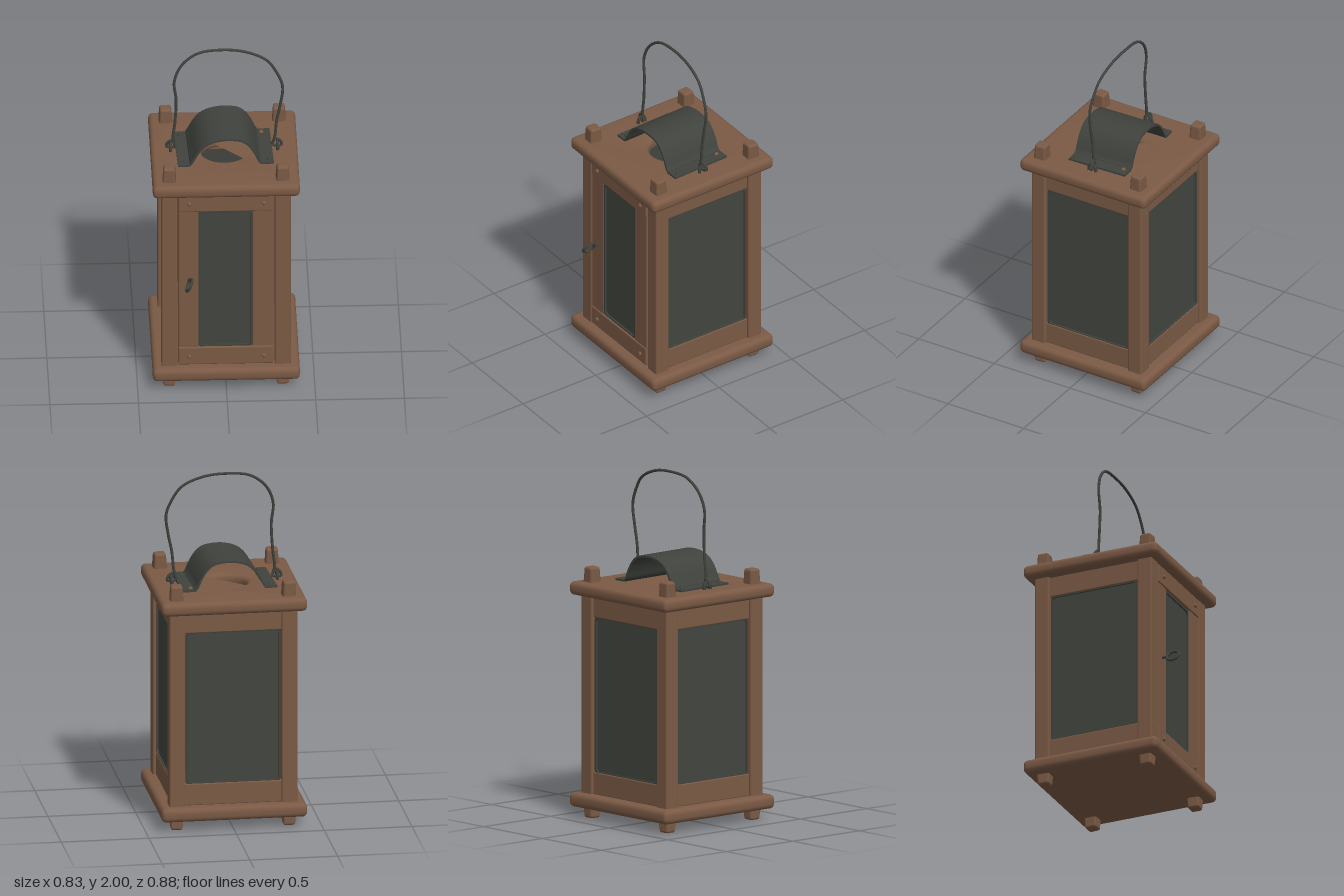
import * as THREE from 'three';
import { toCreasedNormals } from 'three/addons/utils/BufferGeometryUtils.js';
import { RoundedBoxGeometry } from 'three/addons/geometries/RoundedBoxGeometry.js';

const wood = new THREE.MeshStandardMaterial({ color: 0x7b5a45 });
wood.name = 'brown wood';
const iron = new THREE.MeshStandardMaterial({ color: 0x3f423d });
iron.name = 'dark iron';
const glass = new THREE.MeshStandardMaterial({ color: 0x42453f });
glass.name = 'dark glass';

const CZ = -0.025; // middle of the body in z
const v = (x, y, z) => new THREE.Vector3(x, y, z);

function add(parent, name, geometry, material, x = 0, y = 0, z = 0) {
  const mesh = new THREE.Mesh(geometry, material);
  mesh.name = name;
  mesh.position.set(x, y, z);
  parent.add(mesh);
  return mesh;
}

// Softened wooden block given by its limits
function block(parent, name, x0, x1, y0, y1, z0, z1, r = 0.008) {
  const geo = new RoundedBoxGeometry(x1 - x0, y1 - y0, z1 - z0, 2, r);
  return add(parent, name, geo, wood, (x0 + x1) / 2, (y0 + y1) / 2, (z0 + z1) / 2);
}

function roundedRect(target, w, h, r) {
  const a = w / 2, b = h / 2;
  target.moveTo(-a + r, -b);
  target.lineTo(a - r, -b).quadraticCurveTo(a, -b, a, -b + r);
  target.lineTo(a, b - r).quadraticCurveTo(a, b, a - r, b);
  target.lineTo(-a + r, b).quadraticCurveTo(-a, b, -a, b - r);
  target.lineTo(-a, -b + r).quadraticCurveTo(-a, -b, -a + r, -b);
  return target;
}

// Thick square board with rounded edges and an optional round vent
function board(parent, name, y0, y1, holeRadius) {
  const b = 0.028;
  const shape = roundedRect(new THREE.Shape(), 0.83, 0.83, 0.03);
  if (holeRadius) shape.holes.push(new THREE.Path().absarc(0, 0, holeRadius, 0, Math.PI * 2, true));
  const geo = new THREE.ExtrudeGeometry(shape, {
    depth: y1 - y0 - 2 * b, bevelThickness: b, bevelSize: b, bevelOffset: -b, bevelSegments: 4, curveSegments: 20,
  });
  geo.rotateX(-Math.PI / 2);
  add(parent, name, toCreasedNormals(geo, 0.7), wood, 0, y0 + b, CZ);
}

// Glass pane with a narrow rounded iron rim, facing +z
function pane(parent, w, h, x, y, z) {
  add(parent, 'glassPane', new THREE.BoxGeometry(w - 0.006, h - 0.006, 0.008), glass, x, y, z - 0.006);
  const rim = roundedRect(new THREE.Shape(), w, h, 0.025);
  rim.holes.push(roundedRect(new THREE.Path(), w - 0.024, h - 0.024, 0.022));
  add(parent, 'glassRim', new THREE.ExtrudeGeometry(rim, { depth: 0.012, bevelEnabled: false }), iron, x, y, z - 0.004);
}

// Fixed wall: two rails and a wide pane, facing +z at distance d
function wall(parent, name, angle) {
  const g = new THREE.Group();
  g.name = name;
  block(g, 'topRail', -0.285, 0.285, 1.155, 1.285, 0.305, 0.347);
  block(g, 'bottomRail', -0.285, 0.285, 0.14, 0.27, 0.305, 0.347);
  pane(g, 0.54, 0.9, 0, 0.712, 0.335);
  g.position.z = CZ;
  g.rotation.y = angle;
  parent.add(g);
}

function rivet(parent, x, y, z, material, onTop) {
  const geo = new THREE.SphereGeometry(0.013, 12, 6, 0, Math.PI * 2, 0, Math.PI / 2);
  const mesh = add(parent, 'rivet', geo, material, x, y, z);
  if (!onTop) mesh.rotation.x = Math.PI / 2;
}

function tube(parent, name, points, radius, segments = 24) {
  const curve = new THREE.CatmullRomCurve3(points);
  add(parent, name, new THREE.TubeGeometry(curve, segments, radius, 8), iron);
}

export function createModel() {
  const root = new THREE.Group();
  root.name = 'lantern';

  board(root, 'baseBoard', 0.062, 0.143);
  board(root, 'roofBoard', 1.275, 1.352, 0.13);

  // Corner posts with tapered tenons through both boards
  for (const sx of [-1, 1]) for (const sz of [-1, 1]) {
    const x = sx * 0.32, z = CZ + sz * 0.318;
    block(root, 'cornerPost', x - 0.045, x + 0.045, 0.13, 1.29, z - 0.045, z + 0.045, 0.01);
    for (const [name, y0, y1, dir] of [['topTenon', 1.32, 1.437, 1], ['foot', 0, 0.09, -1]]) {
      const h = y1 - y0;
      const geo = new RoundedBoxGeometry(0.08, h, 0.08, 3, 0.014);
      const p = geo.attributes.position;
      for (let i = 0; i < p.count; i++) {
        const s = 1 - 0.18 * (0.5 + dir * p.getY(i) / h);
        p.setX(i, p.getX(i) * s);
        p.setZ(i, p.getZ(i) * s);
      }
      add(root, name, geo, wood, x, (y0 + y1) / 2, z).rotation.y = 0.05 * sx * sz;
    }
  }

  // Left, back and right walls
  wall(root, 'leftWall', Math.PI / 2);
  wall(root, 'backWall', Math.PI);
  wall(root, 'rightWall', -Math.PI / 2);

  // Front door
  const door = new THREE.Group();
  door.name = 'door';
  block(door, 'doorTopRail', -0.27, 0.268, 1.16, 1.272, 0.285, 0.342);
  block(door, 'doorBottomRail', -0.27, 0.268, 0.15, 0.265, 0.285, 0.342);
  block(door, 'doorStile', -0.27, -0.155, 0.258, 1.167, 0.285, 0.336);
  block(door, 'doorStile', 0.148, 0.268, 0.258, 1.167, 0.285, 0.336);
  pane(door, 0.31, 0.895, -0.004, 0.71, 0.324);
  for (const x of [-0.208, 0.213]) for (const y of [0.205, 1.215]) rivet(door, x, y, 0.341, wood);
  root.add(door);

  // Door pull ring on a short pin
  const ring = add(root, 'pullRing', new THREE.TorusGeometry(0.036, 0.008, 8, 24), iron, -0.21, 0.713, 0.4);
  ring.rotation.set(0, Math.PI / 2, -0.46, 'ZYX');
  const pin = add(root, 'pullPin', new THREE.CylinderGeometry(0.008, 0.008, 0.04, 8), iron, -0.21, 0.713, 0.346);
  pin.rotation.x = Math.PI / 2;

  // Bent sheet heat shield over the vent
  const shield = new THREE.Group();
  shield.name = 'heatShield';
  const arch = new THREE.CatmullRomCurve3([
    v(-0.205, 1.357, 0), v(-0.185, 1.39, 0), v(-0.15, 1.45, 0), v(-0.105, 1.492, 0), v(-0.04, 1.514, 0), v(0.02, 1.518, 0),
    v(0.09, 1.506, 0), v(0.13, 1.475, 0), v(0.165, 1.42, 0), v(0.185, 1.375, 0), v(0.2, 1.357, 0),
  ]).getPoints(40);
  const line = [v(-0.272, 1.357, 0), ...arch, v(0.27, 1.357, 0)];
  const side = (s) => line.map((p, i) => {
    const t = line[Math.min(i + 1, line.length - 1)].clone().sub(line[Math.max(i - 1, 0)]).normalize();
    return new THREE.Vector2(p.x - t.y * s, p.y + t.x * s);
  });
  const profile = new THREE.Shape([...side(-0.006), ...side(0.006).reverse()]);
  const sheet = new THREE.ExtrudeGeometry(profile, { depth: 0.364, bevelEnabled: false });
  add(shield, 'bentSheet', toCreasedNormals(sheet, 0.6), iron, 0, 0, -0.182);
  shield.position.z = CZ - 0.002;
  shield.rotation.y = 0.036;
  root.add(shield);
  for (const [x, z, m] of [[-0.245, -0.165, iron], [-0.222, 0.13, iron], [0.215, -0.18, wood], [0.25, 0.115, iron]]) {
    rivet(root, x, 1.362, z, m, true);
  }

  // Wire handle
  tube(root, 'wireHandle', [
    v(-0.275, 1.375, -0.024), v(-0.288, 1.42, -0.024), v(-0.277, 1.53, -0.025), v(-0.27, 1.68, -0.024), v(-0.28, 1.8, -0.028),
    v(-0.24, 1.9, -0.036), v(-0.15, 1.972, -0.045), v(-0.02, 1.991, -0.05), v(0.12, 1.978, -0.047), v(0.24, 1.925, -0.04),
    v(0.29, 1.86, -0.034), v(0.33, 1.76, -0.028), v(0.318, 1.64, -0.025), v(0.298, 1.54, -0.025), v(0.285, 1.42, -0.026),
    v(0.27, 1.375, -0.028),
  ], 0.008, 110);

  // Staple eyes and hooked wire ends
  for (const s of [-1, 1]) {
    tube(root, 'stapleEye', [
      v(s * 0.302, 1.34, -0.05), v(s * 0.302, 1.378, -0.047), v(s * 0.302, 1.396, -0.027),
      v(s * 0.302, 1.378, -0.007), v(s * 0.302, 1.34, -0.004),
    ], 0.009);
    tube(root, 'wireHook', [
      v(s * 0.27, 1.375, -0.026), v(s * 0.295, 1.366, -0.028), v(s * 0.325, 1.373, -0.031),
      v(s * 0.315, 1.4, -0.03), v(s * 0.29, 1.415, -0.026),
    ], 0.008);
  }

  return root;
}
